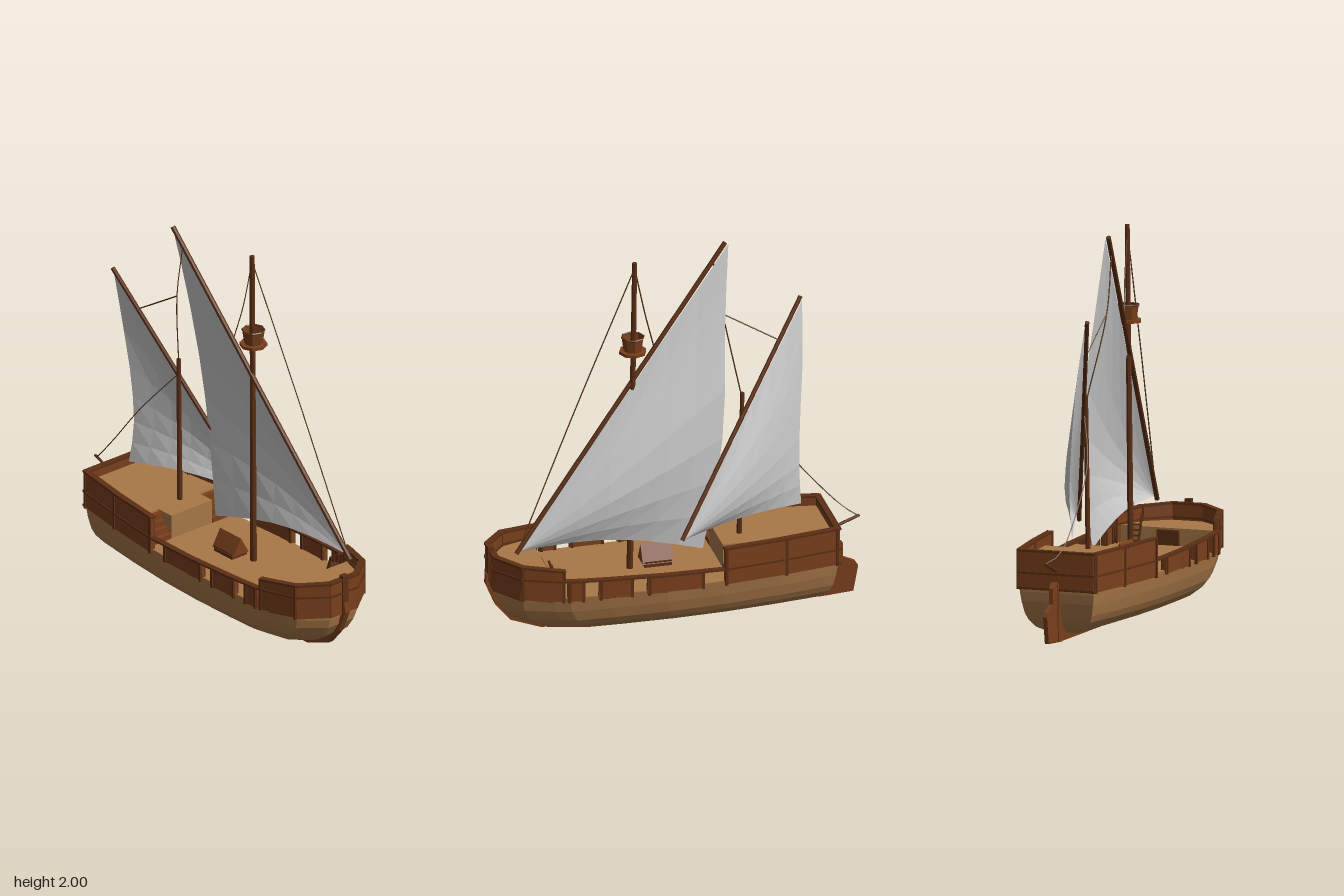
import * as THREE from 'three';

const mat = (color, extra = {}) => new THREE.MeshStandardMaterial({ color, flatShading: true, ...extra });
const V = (x, y, z) => new THREE.Vector3(x, y, z);

// Half-width of the ship at deck level, stern to bow: [x, z]
const OUTLINE = [[-0.81, 0.2], [-0.5, 0.25], [-0.2, 0.285], [0.1, 0.3], [0.4, 0.297],
  [0.6, 0.288], [0.68, 0.265], [0.83, 0.215], [0.935, 0.085]];

function halfWidth(x) {
  const i = Math.max(1, OUTLINE.findIndex((p) => p[0] >= x - 1e-6));
  const [a, b] = [OUTLINE[i - 1], OUTLINE[i]];
  return THREE.MathUtils.mapLinear(x, a[0], b[0], a[1], b[1]);
}

// Outline points between two x positions, ends included
function outlineBetween(x0, x1) {
  const inner = OUTLINE.filter((p) => p[0] > x0 + 0.005 && p[0] < x1 - 0.005);
  return [[x0, halfWidth(x0)], ...inner, [x1, halfWidth(x1)]];
}

export function createModel() {
  const ship = new THREE.Group();
  ship.name = 'sailingShip';
  const tan = mat(0xa87848), brown = mat(0x7a3f1c), dark = mat(0x5c2f14), rope = mat(0x5a3a1e);
  const brown2 = mat(0x7a3f1c, { side: THREE.DoubleSide });
  const canvas = mat(0xcccccc, { side: THREE.DoubleSide });

  const add = (name, geometry, material, parent = ship) => {
    const mesh = new THREE.Mesh(geometry, material);
    mesh.name = name;
    parent.add(mesh);
    return mesh;
  };
  const box = (name, w, h, d, x, y, z, material) => {
    const m = add(name, new THREE.BoxGeometry(w, h, d), material);
    m.position.set(x, y, z);
    return m;
  };
  // Board running from a to b (centre line)
  const plank = (name, a, b, height, thick, material) => {
    const m = add(name, new THREE.BoxGeometry(thick, height, a.distanceTo(b) + thick * 0.4), material);
    m.position.copy(a).lerp(b, 0.5);
    m.lookAt(b);
    return m;
  };
  // Round spar from a to b
  const spar = (name, a, b, r0, r1, material, sides = 8) => {
    const m = add(name, new THREE.CylinderGeometry(r1, r0, a.distanceTo(b), sides), material);
    m.position.copy(a).lerp(b, 0.5);
    m.quaternion.setFromUnitVectors(V(0, 1, 0), b.clone().sub(a).normalize());
    return m;
  };
  const line = (name, pts) => add(name,
    new THREE.TubeGeometry(new THREE.CatmullRomCurve3(pts), 14, 0.0035, 4), rope);

  // Hull: one closed ring per level [y, stern x, bow x, width factor]
  const levels = [[0.04, -0.72, 0.68, 0.4], [0.065, -0.75, 0.77, 0.68], [0.105, -0.775, 0.84, 0.84],
    [0.14, -0.79, 0.88, 0.91], [0.2, -0.803, 0.92, 0.97], [0.28, -0.812, 0.94, 1.02]];
  const pos = [], idx = [], n = OUTLINE.length * 2;
  for (const [y, xs, xe, k] of levels) {
    const side = OUTLINE.map(([x, z]) => [THREE.MathUtils.mapLinear(x, -0.81, 0.935, xs, xe), z * k]);
    side.forEach(([x, z]) => pos.push(x, y, z));
    side.reverse().forEach(([x, z]) => pos.push(x, y, -z));
  }
  for (let j = 0; j < levels.length - 1; j++) for (let i = 0; i < n; i++) {
    const a = j * n + i, b = j * n + (i + 1) % n;
    idx.push(a, b, b + n, a, b + n, a + n);
  }
  for (let i = 1; i < n - 1; i++) idx.push(0, i + 1, i);
  const hull = new THREE.BufferGeometry();
  hull.setAttribute('position', new THREE.Float32BufferAttribute(pos, 3));
  hull.setIndex(idx);
  hull.computeVertexNormals();
  add('hull', hull, tan);

  // Decks: flat plates cut from the outline
  const deck = (name, pts, y0, y1) => {
    const loop = [...pts, ...pts.map(([x, z]) => [x, -z]).reverse()];
    const g = new THREE.ExtrudeGeometry(new THREE.Shape(loop.map(([x, z]) => new THREE.Vector2(x, z))),
      { depth: y1 - y0, bevelEnabled: false });
    const m = add(name, g.rotateX(-Math.PI / 2), tan);
    m.position.y = y0;
  };
  deck('mainDeck', OUTLINE, 0.25, 0.282);
  deck('foreDeck', outlineBetween(0.67, 0.935), 0.27, 0.37);
  deck('quarterDeck', [...outlineBetween(-0.81, -0.33), [-0.33, 0.135], [-0.23, 0.135]], 0.27, 0.41);

  // Keel with stem, and rudder
  const blade = (name, pts, thick, material) => {
    const g = new THREE.ExtrudeGeometry(new THREE.Shape(pts.map((p) => new THREE.Vector2(...p))),
      { depth: thick, bevelEnabled: false });
    add(name, g.translate(0, 0, -thick / 2), material);
  };
  blade('keel', [[-0.82, 0.005], [0.68, 0.005], [0.84, 0.065], [0.92, 0.16], [0.97, 0.28], [0.965, 0.33],
    [0.93, 0.33], [0.9, 0.2], [0.8, 0.12], [0.66, 0.06], [-0.74, 0.06], [-0.8, 0.3], [-0.83, 0.3]], 0.032, brown);
  blade('rudder', [[-0.94, 0.012], [-0.76, 0], [-0.8, 0.15], [-0.82, 0.31], [-0.86, 0.31], [-0.885, 0.285],
    [-0.885, 0.205], [-0.95, 0.175], [-0.965, 0.15]], 0.022, brown);
  box('stemPost', 0.03, 0.19, 0.035, 0.942, 0.385, 0, dark);
  spar('sternBoom', V(-0.78, 0.35, 0), V(-0.975, 0.425, 0), 0.009, 0.007, dark, 6);

  // Bulwarks, rails and ribs, mirrored on both sides
  const topY = (x) => (x < -0.2 ? 0.46 : x < 0.62 ? 0.35 + (x + 0.09) * 0.035 : 0.43 + (x - 0.63) * 0.08);
  for (const s of [1, -1]) {
    const runs = [[-0.81, -0.205], [-0.09, 0.2], [0.28, 0.45], [0.53, 0.61], [0.63, 0.935]];
    for (const [x0, x1] of runs) {
      const p = outlineBetween(x0, x1), base = 0.265;
      for (let i = 1; i < p.length; i++) {
        const [a, b] = [p[i - 1], p[i]];
        const ya = topY(a[0] + 0.001), yb = topY(b[0] - 0.001), h = (ya + yb) / 2 - base;
        plank('bulwark', V(a[0], ya - h / 2, s * a[1]), V(b[0], yb - h / 2, s * b[1]), h, 0.022, brown);
        plank('capRail', V(a[0], ya, s * a[1]), V(b[0], yb, s * b[1]), 0.012, 0.032, dark);
      }
    }
    const rail = outlineBetween(-0.81, 0.935);
    for (let i = 1; i < rail.length; i++) {
      const y = (x) => (x < -0.2 ? 0.348 : 0.348 + (x + 0.2) * 0.033);
      const [a, b] = [rail[i - 1], rail[i]];
      plank('sideRail', V(a[0], y(a[0]), s * a[1]), V(b[0], y(b[0]), s * b[1]), 0.01, 0.032, dark);
    }
    for (const x of [-0.805, -0.53, -0.21, -0.085, 0.195, 0.285, 0.445, 0.535, 0.605, 0.635, 0.83]) {
      const h = topY(x) - 0.262;
      box('rib', 0.014, h + 0.004, 0.034, x, 0.262 + h / 2, s * halfWidth(x), dark);
    }
    // Stairs up to the quarter deck
    for (let k = 0; k < 4; k++) {
      const h = 0.03 * (k + 1);
      box('stair', 0.026, h, 0.11, -0.242 - k * 0.025, 0.28 + h / 2, s * 0.19, brown);
    }
  }

  // Transom at the stern and the flat nose of the bow
  box('transom', 0.022, 0.195, 0.41, -0.81, 0.362, 0, brown);
  for (const y of [0.27, 0.348, 0.46]) box('transomRail', 0.032, 0.012, 0.42, -0.81, y, 0, dark);
  box('bowBoard', 0.022, 0.19, 0.18, 0.935, 0.36, 0, brown);
  for (const y of [0.384, 0.455]) box('bowRail', 0.032, 0.012, 0.18, 0.935, y, 0, dark);

  // Foredeck ladder and rail
  for (const z of [-0.195, -0.145]) {
    plank('ladderSide', V(0.625, 0.28, z), V(0.675, 0.43, z), 0.012, 0.01, dark);
  }
  for (let k = 0; k < 4; k++) box('ladderRung', 0.02, 0.008, 0.05, 0.633 + k * 0.01, 0.3 + k * 0.026, -0.17, dark);
  box('bulkheadDoor', 0.01, 0.08, 0.12, 0.667, 0.32, 0, dark);

  // Deck hatch with a pitched roof
  box('hatchBase', 0.14, 0.03, 0.1, 0.08, 0.296, 0.01, dark);
  const roof = add('hatchRoof', new THREE.CylinderGeometry(0.06, 0.06, 0.16, 3).rotateZ(Math.PI / 2), brown);
  roof.geometry.computeBoundingBox();
  roof.geometry.rotateX(Math.PI);
  roof.rotation.x = Math.PI / 2;
  roof.position.set(0.08, 0.33, 0.01);

  // Masts and slanting yards
  spar('mainMast', V(0.223, 0.27, -0.02), V(0.2, 1.98, -0.03), 0.017, 0.013, dark);
  spar('mizzenMast', V(-0.345, 0.4, -0.02), V(-0.36, 1.19, -0.025), 0.014, 0.011, dark);
  const mainPeak = V(-0.295, 1.99, 0.07), mainTack = V(0.84, 0.485, -0.13);
  const mizPeak = V(-0.7, 1.62, 0.12), mizTack = V(0, 0.495, -0.21);
  spar('mainYard', mainTack, mainPeak, 0.013, 0.013, dark);
  spar('mizzenYard', mizTack, mizPeak, 0.012, 0.012, dark);

  // Lookout tub
  const tub = new THREE.Group();
  tub.name = 'lookout';
  tub.position.set(0.21, 1.49, -0.03);
  ship.add(tub);
  add('lookoutPlatform', new THREE.CylinderGeometry(0.07, 0.07, 0.016, 8), brown, tub);
  add('lookoutWall', new THREE.CylinderGeometry(0.058, 0.047, 0.075, 8, 1, true), brown2, tub).position.y = 0.045;
  add('lookoutRim', new THREE.TorusGeometry(0.057, 0.005, 4, 8).rotateX(Math.PI / 2), dark, tub).position.y = 0.08;

  // Sails: fan of rows from the leech (peak to clew) towards the tack
  const sail = (name, leechPts, tack, bulge, footRise) => {
    const leech = new THREE.CatmullRomCurve3(leechPts);
    const rows = 7, cols = 7, p = [], f = [];
    for (let i = 0; i <= rows; i++) for (let j = 0; j <= cols; j++) {
      const t = i / rows, u = j / cols, q = leech.getPoint(t).lerp(tack, u);
      q.z -= bulge * Math.sin(Math.PI * t) * Math.sin(Math.PI * u);
      q.y += footRise * t * t * Math.sin(Math.PI * u);
      p.push(q.x, q.y, q.z);
      if (i < rows && j < cols) {
        const a = i * (cols + 1) + j, b = a + cols + 1;
        f.push(a, b, b + 1, a, b + 1, a + 1);
      }
    }
    const g = new THREE.BufferGeometry();
    g.setAttribute('position', new THREE.Float32BufferAttribute(p, 3));
    g.setIndex(f);
    g.computeVertexNormals();
    add(name, g, canvas);
  };
  sail('mainSail', [V(-0.31, 1.985, 0.06), V(-0.275, 1.6, -0.01), V(-0.25, 1.1, -0.09), V(-0.2, 0.7, -0.1),
    V(-0.14, 0.375, -0.08)], V(0.82, 0.5, -0.135), 0.05, 0.055);
  sail('mizzenSail', [V(-0.705, 1.6, 0.11), V(-0.695, 1.3, 0.06), V(-0.67, 0.95, 0.02), V(-0.665, 0.7, 0.01),
    V(-0.68, 0.51, 0.03)], V(-0.01, 0.5, -0.215), 0.05, 0.025);

  // Rigging
  const knot = V(-0.28, 1.6, 0.055);
  line('foreStay', [V(0.2, 1.95, -0.03), V(0.52, 1.23, -0.08), V(0.83, 0.5, -0.13)]);
  line('yardLift', [V(0.2, 1.95, -0.03), V(0.14, 1.67, -0.02), V(0.09, 1.48, 0)]);
  line('peakLine', [V(-0.23, 1.9, 0.06), knot, V(-0.355, 1.18, -0.02)]);
  line('mizzenLift', [knot, V(-0.57, 1.42, 0.06)]);
  line('sternLine', [V(-0.97, 0.42, 0), V(-0.9, 0.46, 0.05), V(-0.75, 0.62, 0.07), V(-0.55, 0.87, 0.06),
    V(-0.37, 1.1, -0.03)]);
  return ship;
}
